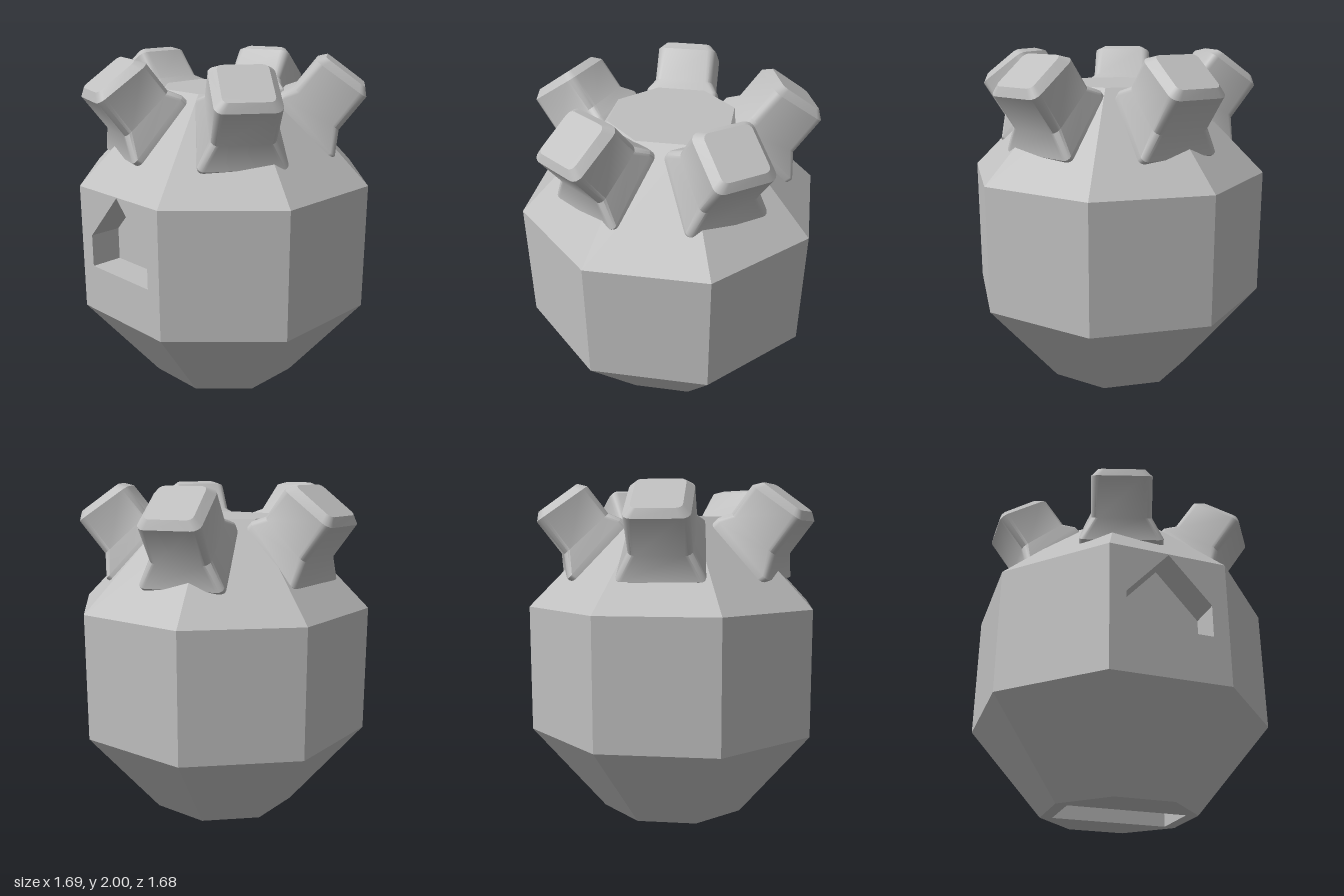
import * as THREE from 'three';
import { toCreasedNormals } from 'three/addons/utils/BufferGeometryUtils.js';

const grey = new THREE.MeshStandardMaterial({ color: 0xbfbfbf });
grey.name = 'stone grey';

function geometryFrom(positions) {
  const g = new THREE.BufferGeometry();
  g.setAttribute('position', new THREE.Float32BufferAttribute(positions, 3));
  g.computeVertexNormals();
  return g;
}

function part(name, geometry) {
  const mesh = new THREE.Mesh(geometry, grey);
  mesh.name = name;
  return mesh;
}

// Joins closed rings, listed bottom to top; skip(band, side) leaves a side open
function loft(rings, capTop, skip = () => false) {
  const out = [];
  const n = rings[0].length;
  for (let k = 0; k < rings.length - 1; k++) {
    for (let i = 0; i < n; i++) {
      if (skip(k, i)) continue;
      const j = (i + 1) % n;
      const [a, b, c, d] = [rings[k][i], rings[k][j], rings[k + 1][j], rings[k + 1][i]];
      out.push(...a, ...b, ...c, ...a, ...c, ...d);
    }
  }
  if (capTop) {
    const top = rings[rings.length - 1];
    for (let i = 1; i < n - 1; i++) out.push(...top[0], ...top[i], ...top[i + 1]);
  }
  return geometryFrom(out);
}

const octagon = (apothem) => Array.from({ length: 8 }, (_, i) => {
  const t = Math.PI / 8 + i * Math.PI / 4;
  const r = apothem / Math.cos(Math.PI / 8);
  return [r * Math.sin(t), r * Math.cos(t)];
});

// A flat plate with a recess sunk behind its opening, made in the XY plane
function recessedPlate(name, outline, opening, depth) {
  const group = new THREE.Group();
  group.name = name;
  const vectors = (pts) => pts.map((p) => new THREE.Vector2(...p));
  const shape = new THREE.Shape(vectors(outline));
  shape.holes.push(new THREE.Path(vectors(opening)));
  group.add(part(name + 'Face', new THREE.ShapeGeometry(shape)));
  const walls = loft([opening.map((p) => [...p, 0]), opening.map((p) => [...p, -depth])], false);
  group.add(part(name + 'Walls', walls));
  const back = new THREE.ShapeGeometry(new THREE.Shape(vectors(opening)));
  group.add(part(name + 'Back', back.translate(0, 0, -depth)));
  return group;
}

// Unit square with rounded corners; f is the corner radius
function roundedSquare(f) {
  const pts = [];
  for (let q = 0; q < 4; q++) {
    const mid = Math.PI / 4 + q * Math.PI / 2;
    const cx = Math.sign(Math.sin(mid)) * (1 - f);
    const cz = Math.sign(Math.cos(mid)) * (1 - f);
    for (let s = 0; s <= 4; s++) {
      const t = q * Math.PI / 2 + s * Math.PI / 8;
      pts.push([cx + f * Math.sin(t), cz + f * Math.cos(t)]);
    }
  }
  return pts;
}

// Stud section between an outer and an inner point, each [radius, height, half width]
function studRing(outer, inner, f) {
  return roundedSquare(f).map(([a, b]) => {
    const [r, y, w] = inner.map((v, i) => v + (outer[i] - v) * (b + 1) / 2);
    return [a * w, y, r];
  });
}

export function createModel() {
  const model = new THREE.Group();
  model.name = 'studdedVessel';

  // Eight-sided body; its -x wall and its underside are separate plates
  const profile = [[0.425, 0], [0.835, 0.53], [0.835, 1.28], [0.345, 1.81]];
  const rings = profile.map(([r, y]) => octagon(r).map(([x, z]) => [x, y, z]));
  model.add(part('body', loft(rings, true, (band, side) => band === 1 && side === 5)));

  // Wall with a house-shaped niche
  const h = 0.835 * Math.tan(Math.PI / 8);
  const niche = recessedPlate('niche',
    [[-h, 0.53], [h, 0.53], [h, 1.28], [-h, 1.28]],
    [[-0.25, 0.81], [0.25, 0.81], [0.25, 1.0], [0, 1.275], [-0.25, 1.0]], 0.19);
  niche.rotation.y = -Math.PI / 2;
  niche.position.x = -0.835;
  model.add(niche);

  // Underside with a long slot
  const underside = recessedPlate('underside', octagon(0.425),
    [[-0.16, -0.355], [0.16, -0.355], [0.16, 0.355], [-0.16, 0.355]], 0.35);
  underside.rotation.x = Math.PI / 2;
  model.add(underside);

  // Five leaning studs with flared roots and bevelled caps
  const stud = toCreasedNormals(loft([
    studRing([0.6, 1.4, 0.25], [0.3, 1.74, 0.215], 0.15),
    studRing([0.68, 1.45, 0.25], [0.36, 1.8, 0.215], 0.15),
    studRing([0.695, 1.59, 0.18], [0.43, 1.83, 0.18], 0.25),
    studRing([0.842, 1.782, 0.18], [0.55, 1.985, 0.18], 0.28),
    studRing([0.833, 1.837, 0.138], [0.607, 2.0, 0.138], 0.25),
  ], true), 0.65);
  for (let k = 0; k < 5; k++) {
    const mesh = part('stud' + (k + 1), stud);
    mesh.rotation.y = Math.PI + k * Math.PI * 2 / 5;
    model.add(mesh);
  }
  return model;
}
